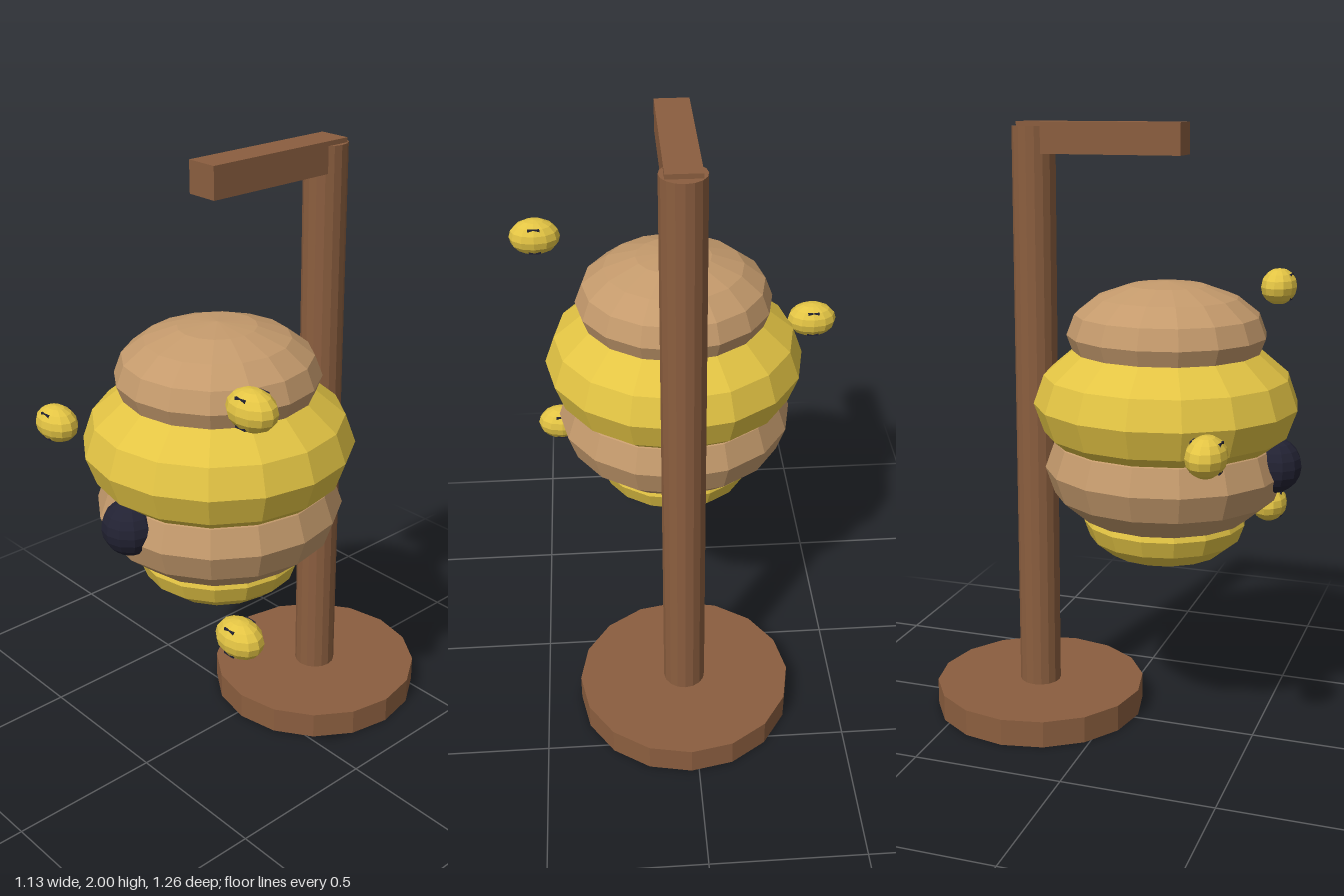
import * as THREE from 'three';

const material = (name, color) => {
  const m = new THREE.MeshStandardMaterial({ color, flatShading: true });
  m.name = name;
  return m;
};

export function createModel() {
  const model = new THREE.Group();
  model.name = 'beehiveOnStand';
  const wood = material('wood', 0x8b5e3f);
  const tan = material('tan', 0xc49a6c);
  const yellow = material('yellow', 0xe3c444);
  const dark = material('dark', 0x222233);
  const CX = 0.025, POST_Z = -0.27, HIVE_Z = 0.18;

  const add = (parent, name, geometry, mat, x, y, z) => {
    const mesh = new THREE.Mesh(geometry, mat);
    mesh.name = name;
    mesh.position.set(x, y, z);
    parent.add(mesh);
    return mesh;
  };
  const ellipsoid = (rx, ry, rz, w, h) => new THREE.SphereGeometry(1, w, h).scale(rx, ry, rz);

  // Stand: round foot, post and overhanging arm
  add(model, 'base', new THREE.CylinderGeometry(0.36, 0.36, 0.09, 16), wood, CX, 0.045, POST_Z);
  add(model, 'post', new THREE.CylinderGeometry(0.07, 0.07, 1.94, 16), wood, CX, 1.015, POST_Z);
  add(model, 'arm', new THREE.BoxGeometry(0.108, 0.1, 0.54), wood, CX, 1.95, -0.038);

  // Hive: stacked squashed bands, [radius, half height, centre y, material]
  const hive = new THREE.Group();
  hive.name = 'hive';
  model.add(hive);
  [
    [0.322, 0.17, 1.34, tan],
    [0.429, 0.242, 1.118, yellow],
    [0.393, 0.225, 0.905, tan],
    [0.268, 0.145, 0.723, yellow],
  ].forEach(([r, h, y, mat], i) => {
    add(hive, `hiveBand${i + 1}`, ellipsoid(r, h, r, 16, 8), mat, CX, y, HIVE_Z);
  });
  add(hive, 'entrance', ellipsoid(0.09, 0.09, 0.09, 12, 10), dark, CX, 0.937, 0.538);

  // Bees: oval bodies with a dark stripe just breaking the surface
  [[0.475, 1.445], [-0.48, 1.085], [0.42, 0.687]].forEach(([x, y], i) => {
    const bee = new THREE.Group();
    bee.name = `bee${i + 1}`;
    bee.position.set(x, y, 0.447);
    add(bee, 'beeBody', ellipsoid(0.086, 0.062, 0.062, 12, 8), yellow, 0, 0, 0);
    add(bee, 'beeStripe', new THREE.BoxGeometry(0.04, 0.09, 0.09), dark, 0, 0, 0);
    model.add(bee);
  });

  return model;
}
